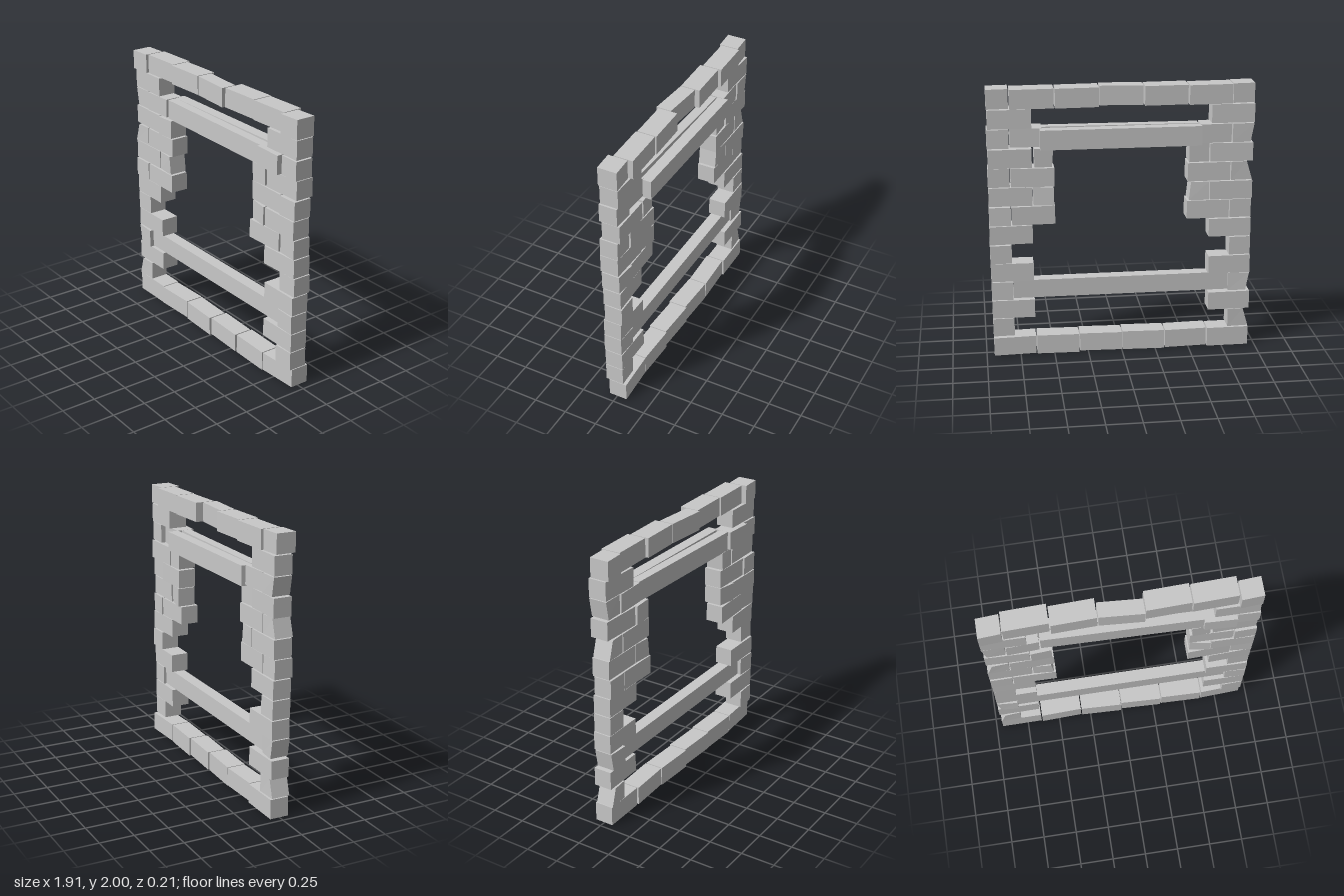
import * as THREE from 'three';

const ROW = 0.1425, LONG = 0.309, SHORT = 0.155, GAP = 0.008, EDGE = 0.95;
const stone = new THREE.MeshStandardMaterial({ color: 0xc8c8c8 });
stone.name = 'light grey stone';

// Small seeded generator, -1 to 1
let seed;
function wobble() {
  seed = (seed * 16807) % 2147483647;
  return (seed / 2147483647) * 2 - 1;
}

// Block from x0 to x1; lt, lb, rt, rb shift the top and bottom of its ends
// at -x and +x, and tw slides the +x end in z so it sits askew.
function block(name, x0, x1, y0, y1, z, depth, { lt = 0, lb = 0, rt = 0, rb = 0, tw = 0 } = {}) {
  const g = new THREE.BoxGeometry(x1 - x0, y1 - y0, depth).toNonIndexed();
  const p = g.attributes.position;
  for (let i = 0; i < p.count; i++) {
    const far = p.getX(i) > 0, top = p.getY(i) > 0;
    const shift = far ? (top ? rt : rb) : (top ? lt : lb);
    p.setX(i, p.getX(i) + shift);
    p.setZ(i, p.getZ(i) + (far ? tw : -tw) / 2);
  }
  g.translate((x0 + x1) / 2, (y0 + y1) / 2, z);
  g.computeVertexNormals();
  const mesh = new THREE.Mesh(g, stone);
  mesh.name = name;
  return mesh;
}

// Crooked bricks, keyed by jamb, course and place counted from the outer edge
const crooked = {
  'right 1 0': { lt: 0.04 },
  'right 3 0': { lb: 0.025 },
  'right 9 0': { lt: 0.04 },
  'right 11 0': { lb: 0.025 },
  'right 8 1': { rt: -0.015 },
  'left 8 1': { tw: 0.025 },
  'left 10 1': { lb: 0.01, rt: -0.01, rb: -0.01 },
};

// Jamb: outer bricks alternate long and short, courses 7 to 11 gain an inner brick
function jamb(side) {
  const group = new THREE.Group();
  group.name = side + 'Jamb';
  for (let row = 1; row <= 12; row++) {
    const lengths = [row % 2 ? SHORT : LONG];
    if (row >= 7 && row <= 10) lengths.push(row % 2 ? LONG : SHORT - 0.01);
    if (row === 11) lengths.push(0.225);
    const y = row * ROW + 0.007;
    let start = EDGE + 0.004 * wobble();
    lengths.forEach((length, place) => {
      const x0 = side === 'left' ? start - length : -start;
      // One brick beside the lintel stands proud of the wall
      const proud = side === 'left' && row === 11 && place === 1;
      const z = proud ? 0.032 : 0.006 + 0.011 * wobble();
      const skew = { tw: 0.012 * wobble(), ...crooked[`${side} ${row} ${place}`] };
      group.add(block('jambBrick', x0, x0 + length, y, y + 0.136, z, 0.135, skew));
      start -= length + GAP;
    });
  }
  return group;
}

export function createModel() {
  seed = 7;
  const model = new THREE.Group();
  model.name = 'stoneWindowFrame';
  model.add(jamb('left'), jamb('right'));

  // Bottom course: six long bricks
  for (let i = 0; i < 6; i++) {
    const x0 = -EDGE + i * (LONG + GAP);
    model.add(block('bottomBrick', x0, x0 + LONG, 0.006 * (i % 2), 0.143, 0.004 * wobble(), 0.138, { tw: 0.015 * wobble() }));
  }

  // Top course: five long bricks between two short corners
  const topZ = [0.012, -0.013, -0.003, 0.018, -0.013, -0.015, 0.01];
  let x = -EDGE - 0.002;
  topZ.forEach((z, i) => {
    const length = i === 0 || i === 6 ? SHORT : LONG;
    const middle = i === 3;
    model.add(block('topBrick', x, x + length, 1.86, 2, z, middle ? 0.11 : 0.142, { tw: middle ? 0.02 : -0.01 }));
    x += length + GAP;
  });

  // Sill and the two lintel beams, the front one slightly askew
  model.add(
    block('sillBeam', -0.84, 0.79, 0.44, 0.575, 0.005, 0.09),
    block('frontLintel', -0.555, 0.57, 1.565, 1.71, 0.026, 0.07, { tw: 0.02 }),
    block('backLintel', -0.57, 0.58, 1.565, 1.708, -0.064, 0.08),
  );
  return model;
}
